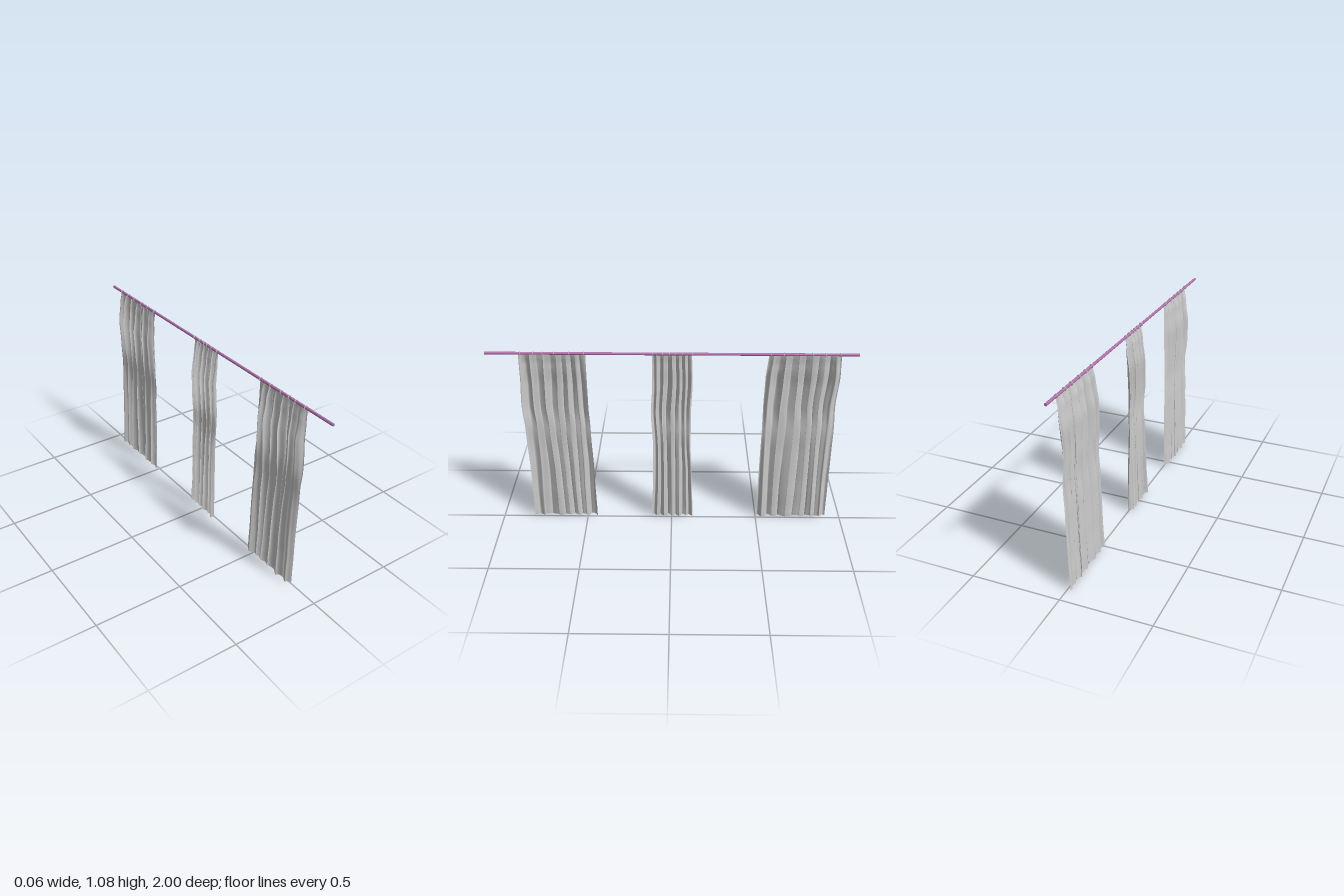
import * as THREE from 'three';

const ROD_X = 0.018, ROD_Y = 1.073;
const cloth = new THREE.MeshStandardMaterial({ color: 0xcccccc, side: THREE.DoubleSide });
const grey = new THREE.MeshStandardMaterial({ color: 0xcccccc });
const rodPaint = new THREE.MeshStandardMaterial({ color: 0xb070a8 });

// Smooth interpolation through [height, value, value] rows
function sample(rows, y) {
  let i = 0;
  while (i < rows.length - 2 && y > rows[i + 1][0]) i++;
  const a = rows[i], b = rows[i + 1];
  const t = THREE.MathUtils.smoothstep(y, a[0], b[0]);
  return [THREE.MathUtils.lerp(a[1], b[1], t), THREE.MathUtils.lerp(a[2], b[2], t)];
}

// Depth range of the cloth in x: billows near the top, gathers at mid height
const depth = [
  [0, -0.028, 0.002], [0.03, -0.028, 0.005], [0.2, -0.022, 0.009], [0.43, -0.015, 0.011],
  [0.6, -0.004, 0.01], [0.74, -0.017, 0.017], [0.87, -0.02, 0.021], [1.0, -0.003, 0.025],
  [1.072, 0.013, 0.025],
];

// edges: rows of [height, low z, high z]; rings: z positions on the rod
const curtains = [
  {
    name: 'frontCurtain', seed: 0.4, folds: 6,
    edges: [[0, 0.442, 0.815], [0.3, 0.447, 0.815], [0.6, 0.455, 0.822], [0.75, 0.46, 0.83], [0.95, 0.46, 0.822], [1.072, 0.46, 0.82]],
    rings: [0.81, 0.74, 0.69, 0.63, 0.55, 0.47],
  },
  {
    name: 'middleCurtain', seed: 2.1, folds: 6,
    edges: [[0, -0.125, 0.117], [0.3, -0.117, 0.108], [0.5, -0.108, 0.106], [0.7, -0.108, 0.115], [0.9, -0.115, 0.106], [1.072, -0.11, 0.105]],
    rings: [0.1, 0.05, 0.01, -0.02, -0.06, -0.11],
  },
  {
    name: 'backCurtain', seed: 4.3, folds: 6,
    edges: [[0, -0.915, -0.505], [0.3, -0.912, -0.505], [0.6, -0.91, -0.507], [0.75, -0.905, -0.507], [0.92, -0.915, -0.51], [1.072, -0.908, -0.52]],
    rings: [-0.53, -0.6, -0.67, -0.75, -0.82, -0.9],
  },
];

// Pleated sheet: a grid whose columns follow drifting folds
function curtainSheet({ seed, folds, edges }) {
  const geo = new THREE.PlaneGeometry(1, 1, 120, 60);
  const pos = geo.attributes.position;
  for (let i = 0; i < pos.count; i++) {
    const u = pos.getX(i) + 0.5, v = pos.getY(i) + 0.5;
    const hem = 0.006 + 0.005 * Math.sin(u * folds * 6.28 + seed) * Math.sin(u * 5 + seed);
    const y = THREE.MathUtils.lerp(hem, 1.07, v);
    const [xMin, xMax] = sample(depth, y);
    const [zMin, zMax] = sample(edges, y);
    const warp = u + 0.03 * Math.sin(u * 7 + seed * 3) + 0.012 * Math.sin(v * 5 + u * 9 + seed);
    const phase = warp * folds * Math.PI * 2 + seed;
    const fold = 0.62 * Math.sin(phase)
      + 0.25 * Math.sin(phase * 0.47 + v * 2.5 + seed)
      + 0.13 * Math.sin(phase * 2.1 - v * 1.5);
    const x = (xMin + xMax) / 2 + fold * (xMax - xMin) / 2;
    // Sideways lean makes the pleats roll over slightly, fading at the side edges
    const lean = 0.12 / folds * Math.sin(phase * 2 + 0.6) * Math.sin(Math.PI * u);
    pos.setXYZ(i, x, y, THREE.MathUtils.lerp(zMax, zMin, u + lean));
  }
  geo.computeVertexNormals();
  return geo;
}

export function createModel() {
  const model = new THREE.Group();
  model.name = 'curtainRail';

  // Rail along z
  const rod = new THREE.Mesh(new THREE.CylinderGeometry(0.0075, 0.0075, 2, 16).rotateX(Math.PI / 2), rodPaint);
  rod.name = 'rod';
  rod.position.set(ROD_X, ROD_Y, 0);
  model.add(rod);

  // Curtains, each with its hanging rings
  const ringGeo = new THREE.TorusGeometry(0.0092, 0.002, 6, 16);
  for (const spec of curtains) {
    const group = new THREE.Group();
    group.name = spec.name;
    const sheet = new THREE.Mesh(curtainSheet(spec), cloth);
    sheet.name = 'cloth';
    group.add(sheet);
    for (const z of spec.rings) {
      const ring = new THREE.Mesh(ringGeo, grey);
      ring.name = 'ring';
      ring.position.set(ROD_X, ROD_Y, z);
      group.add(ring);
    }
    model.add(group);
  }
  return model;
}
